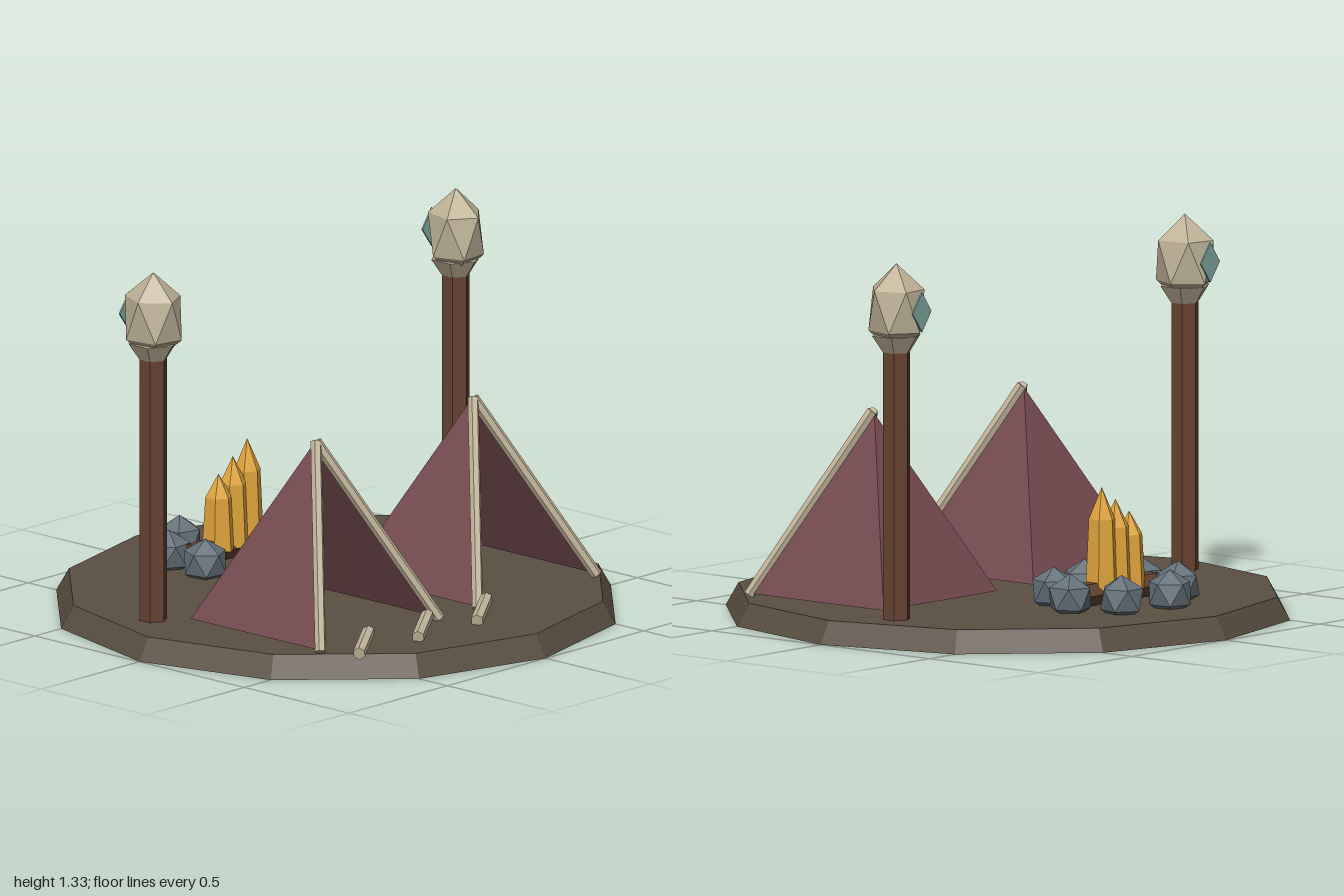
import * as THREE from 'three';

const mat = (name, color, side = THREE.FrontSide) => {
  const m = new THREE.MeshStandardMaterial({ color, flatShading: true, side });
  m.name = name;
  return m;
};

export function createModel() {
  const root = new THREE.Group();
  root.name = 'camp';
  const earth = mat('earth', 0x5a4f42);
  const cloth = mat('cloth', 0x754b51, THREE.DoubleSide);
  const wood = mat('wood', 0x664331);
  const bone = mat('bone', 0xc0b498);
  const stone = mat('stone', 0x65727a);
  const flame = mat('flame', 0xe0a43c);
  const paint = mat('teal paint', 0x7fa8a0);

  const add = (parent, name, geometry, material, x = 0, y = 0, z = 0) => {
    const mesh = new THREE.Mesh(geometry, material);
    mesh.name = name;
    mesh.position.set(x, y, z);
    parent.add(mesh);
    return mesh;
  };

  // six-sided rod between two points
  const rod = (parent, name, material, r, a, b) => {
    const dir = b.clone().sub(a);
    const mesh = add(parent, name, new THREE.CylinderGeometry(r, r, dir.length(), 6), material);
    mesh.position.copy(a).add(b).multiplyScalar(0.5);
    mesh.quaternion.setFromUnitVectors(new THREE.Vector3(0, 1, 0), dir.normalize());
    return mesh;
  };
  const v = (x, y, z) => new THREE.Vector3(x, y, z);

  // icosahedron standing on a corner
  const nugget = () => new THREE.IcosahedronGeometry(1, 0).rotateZ(Math.atan(2 / (1 + Math.sqrt(5))));

  // ground disc
  add(root, 'ground', new THREE.CylinderGeometry(0.955, 1, 0.08, 12), earth, 0, 0.04, 0);

  for (const side of [-1, 1]) {
    // tent: three cloth walls, open at the front
    const tent = new THREE.Group();
    tent.name = side < 0 ? 'rightTent' : 'leftTent';
    tent.position.set(0.4 * side, 0, 0.27);
    root.add(tent);
    const h = 0.303, y0 = 0.09, apex = [0, 0.72, 0];
    const corners = [[h, y0, h], [h, y0, -h], [-h, y0, -h], [-h, y0, h]];
    const walls = [];
    for (let i = 0; i < 3; i++) walls.push(...corners[i], ...corners[i + 1], ...apex);
    const geo = new THREE.BufferGeometry();
    geo.setAttribute('position', new THREE.Float32BufferAttribute(walls, 3));
    geo.computeVertexNormals();
    add(tent, 'tentCloth', geo, cloth);
    for (const s of [-1, 1]) rod(tent, 'tentPole', bone, 0.02, v(s * 0.303, 0.085, 0.315), v(0, 0.727, 0.01));

    // totem: post, jaw, skull and a painted mark on the back
    const totem = new THREE.Group();
    totem.name = side < 0 ? 'rightTotem' : 'leftTotem';
    totem.position.set(0.77 * side, 0, -0.15);
    root.add(totem);
    add(totem, 'post', new THREE.CylinderGeometry(0.05, 0.05, 0.95, 6), wood, 0, 0.555, 0);
    add(totem, 'jaw', new THREE.CylinderGeometry(0.09, 0.05, 0.06, 6), bone, 0, 1.05, 0);
    const skull = add(totem, 'skull', nugget(), bone, 0, 1.168, 0);
    skull.scale.set(0.105, 0.163, 0.118);
    skull.rotation.y = side < 0 ? 0.15 : Math.PI - 0.25;
    const mark = add(totem, 'skullMark', new THREE.CylinderGeometry(0.05, 0.05, 0.006, 4).rotateX(Math.PI / 2), paint, 0, 1.17, -0.115);
    mark.scale.y = 1.4;
  }

  // loose bones in front of the tents
  for (const x of [-0.575, -0.275, 0.025]) {
    rod(root, 'looseBone', bone, 0.023, v(x - 0.08, 0.095, 0.725), v(x + 0.08, 0.125, 0.62));
  }

  // campfire
  const fire = new THREE.Group();
  fire.name = 'campfire';
  fire.position.set(0, 0, -0.5);
  root.add(fire);
  for (let i = 0; i < 7; i++) {
    const a = (i / 7) * Math.PI * 2;
    const rock = add(fire, 'fireStone', nugget(), stone, Math.cos(a) * 0.25, 0.13, Math.sin(a) * 0.2);
    rock.scale.setScalar(0.084);
    rock.rotation.y = i * 0.9;
  }
  rod(fire, 'log', wood, 0.045, v(-0.2, 0.13, 0), v(0.2, 0.13, 0));

  // flames rise in steps from one end to the other
  [0.4, 0.45, 0.5].forEach((top, i) => {
    const base = 0.13, shoulder = base + (top - base) * 0.7;
    const profile = [[0, base], [0.06, base], [0.048, shoulder], [0, top]].map(p => new THREE.Vector2(...p));
    add(fire, 'flame', new THREE.LatheGeometry(profile, 6), flame, -0.065 + i * 0.073, 0, 0);
  });

  return root;
}
